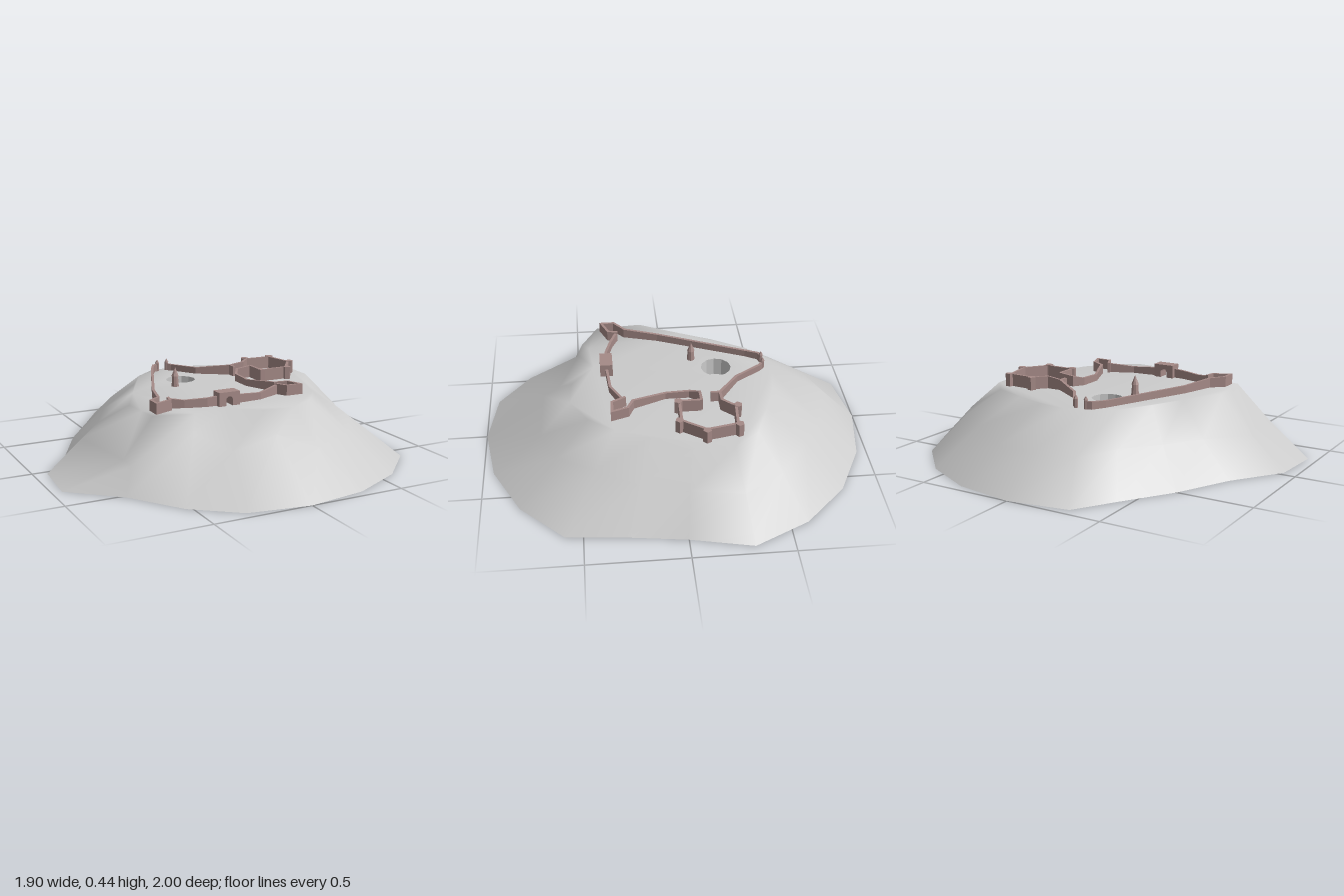
import * as THREE from 'three';
import { mergeGeometries, mergeVertices } from 'three/addons/utils/BufferGeometryUtils.js';

const GROUND = 0.33;
const earth = new THREE.MeshStandardMaterial({ color: 0xcccccc });
const stone = new THREE.MeshStandardMaterial({ color: 0xa58a87, flatShading: true });

// Foot of the hill, its shoulder [x, y, z] and the rim of the plateau, clockwise from the back
const foot = [
  [0, -1], [0.31, -0.95], [0.59, -0.81], [0.81, -0.59], [0.95, -0.31], [0.88, 0], [0.84, 0.28],
  [0.81, 0.59], [0.59, 0.81], [0.31, 0.95], [0, 1], [-0.31, 0.95], [-0.53, 0.78], [-0.71, 0.52],
  [-0.95, 0.31], [-0.93, 0.03], [-0.75, -0.22], [-0.61, -0.5], [-0.44, -0.75], [-0.31, -0.95],
];
const shoulder = [
  [0, 0.18, -0.82], [0.24, 0.16, -0.75], [0.45, 0.2, -0.63], [0.66, 0.19, -0.48], [0.78, 0.18, -0.28],
  [0.74, 0.18, -0.02], [0.67, 0.18, 0.22], [0.58, 0.21, 0.43], [0.45, 0.19, 0.62], [0.22, 0.16, 0.7],
  [0, 0.25, 0.68], [-0.19, 0.17, 0.6], [-0.35, 0.26, 0.49], [-0.66, 0.13, 0.47], [-0.6, 0.08, 0.22],
  [-0.75, 0.16, 0.04], [-0.58, 0.17, -0.17], [-0.47, 0.18, -0.38], [-0.34, 0.19, -0.58], [-0.21, 0.17, -0.74],
];
const rim = [
  [0, -0.53], [0.15, -0.51], [0.32, -0.45], [0.5, -0.38], [0.61, -0.25], [0.61, -0.04], [0.5, 0.15],
  [0.43, 0.32], [0.33, 0.45], [0.18, 0.54], [0.02, 0.53], [-0.13, 0.41], [-0.31, 0.43], [-0.51, 0.38],
  [-0.52, 0.27], [-0.53, 0.14], [-0.42, -0.08], [-0.34, -0.25], [-0.24, -0.42], [-0.13, -0.51],
];

function add(parent, name, geometry, material, x = 0, y = 0, z = 0) {
  const mesh = new THREE.Mesh(geometry, material);
  mesh.name = name;
  mesh.position.set(x, y, z);
  parent.add(mesh);
  return mesh;
}

function meshData(pos, index) {
  const g = new THREE.BufferGeometry();
  g.setAttribute('position', new THREE.Float32BufferAttribute(pos, 3));
  g.setIndex(index);
  return g;
}

// Slopes and plateau in one smooth skin, with a round hole for the pit
function hillGeometry(pit) {
  const n = foot.length, pos = [], index = [];
  foot.forEach(([x, z]) => pos.push(x, 0, z));
  shoulder.forEach(p => pos.push(...p));
  rim.forEach(([x, z]) => pos.push(x, GROUND, z));
  for (let r = 0; r < 2; r++) {
    for (let i = 0; i < n; i++) {
      const a = r * n + i, b = r * n + (i + 1) % n;
      index.push(b, a, a + n, b, a + n, b + n);
    }
  }
  const top = new THREE.Shape(rim.map(([x, z]) => new THREE.Vector2(x, -z)));
  const hole = [];
  for (let i = 0; i < 12; i++) {
    const a = i * Math.PI / 6;
    hole.push(new THREE.Vector2(pit.x + pit.r * Math.sin(a), -pit.z - pit.r * Math.cos(a)));
  }
  top.holes.push(new THREE.Path(hole));
  const plateau = new THREE.ShapeGeometry(top).rotateX(-Math.PI / 2).translate(0, GROUND, 0);
  plateau.deleteAttribute('uv');
  plateau.deleteAttribute('normal');
  const g = mergeVertices(mergeGeometries([meshData(pos, index), plateau]));
  g.computeVertexNormals();
  return g;
}

// Mitred wall along [x, z, top] points
function wallGeometry(path, thickness = 0.014) {
  const pos = [], index = [], v = path.map(([x, z]) => new THREE.Vector2(x, z));
  path.forEach(([x, z, top], i) => {
    const i0 = Math.max(i, 1), i1 = Math.min(i + 1, v.length - 1);
    const d0 = v[i0].clone().sub(v[i0 - 1]).normalize();
    const d1 = v[i1].clone().sub(v[i1 - 1]).normalize();
    const n0 = new THREE.Vector2(d0.y, -d0.x);
    const n = n0.clone().add(new THREE.Vector2(d1.y, -d1.x)).normalize();
    n.multiplyScalar(thickness / 2 / Math.max(n.dot(n0), 0.5));
    pos.push(x + n.x, GROUND - 0.01, z + n.y, x + n.x, top, z + n.y,
      x - n.x, top, z - n.y, x - n.x, GROUND - 0.01, z - n.y);
  });
  for (let s = 0; s < path.length - 1; s++) {
    for (let k = 0; k < 4; k++) {
      const a = s * 4 + k, a1 = s * 4 + (k + 1) % 4;
      index.push(a1, a1 + 4, a + 4, a1, a + 4, a);
    }
  }
  const e = (path.length - 1) * 4;
  index.push(3, 2, 1, 3, 1, 0, e, e + 1, e + 2, e, e + 2, e + 3);
  const g = meshData(pos, index).toNonIndexed();
  g.computeVertexNormals();
  return g;
}

export function createModel() {
  const model = new THREE.Group();
  model.name = 'hillFort';

  // Hill with a sunken pit and a closed underside
  const pit = { x: -0.07, z: -0.24, r: 0.08, depth: 0.1 };
  add(model, 'hill', hillGeometry(pit), earth);
  const bottom = new THREE.Shape(foot.map(([x, z]) => new THREE.Vector2(x, z)));
  add(model, 'underside', new THREE.ShapeGeometry(bottom).rotateX(Math.PI / 2), earth);
  const lining = new THREE.MeshStandardMaterial({ color: 0xcccccc, side: THREE.DoubleSide, flatShading: true });
  add(model, 'pitWall', new THREE.CylinderGeometry(pit.r, pit.r, pit.depth, 12, 1, true), lining,
    pit.x, GROUND - pit.depth / 2, pit.z);
  add(model, 'pitFloor', new THREE.CircleGeometry(pit.r, 12).rotateX(-Math.PI / 2), earth,
    pit.x, GROUND - pit.depth, pit.z);

  // Curtain walls
  const walls = {
    westWall: [[-0.095, -0.487, 0.37], [-0.127, -0.476, 0.37], [-0.164, -0.41, 0.365], [-0.36, 0.05, 0.37],
      [-0.413, 0.23, 0.38], [-0.476, 0.286, 0.385], [-0.476, 0.355, 0.385], [-0.39, 0.32, 0.385],
      [-0.38, 0.27, 0.385]],
    frontWallWest: [[-0.385, 0.275, 0.38], [-0.31, 0.31, 0.37], [-0.2, 0.34, 0.375], [-0.13, 0.342, 0.38]],
    frontWallEast: [[-0.05, 0.342, 0.375], [0.105, 0.33, 0.365], [0.235, 0.275, 0.38]],
    eastWall: [[0.228, 0.258, 0.385], [0.265, 0.328, 0.385], [0.344, 0.33, 0.385], [0.317, 0.25, 0.385],
      [0.254, 0.222, 0.38], [0.185, 0.053, 0.365], [0.185, -0.07, 0.37], [0.217, -0.12, 0.385], [0.3, -0.12, 0.395]],
    citadelWall: [[0.3, -0.12, 0.395], [0.3, -0.007, 0.395], [0.46, -0.005, 0.395], [0.54, -0.12, 0.395],
      [0.508, -0.275, 0.395], [0.365, -0.285, 0.395], [0.307, -0.222, 0.395], [0.228, -0.222, 0.385]],
    citadelSpur: [[0.228, -0.222, 0.385], [0.228, -0.175, 0.385]],
    backWall: [[0.228, -0.222, 0.385], [0.07, -0.33, 0.365], [-0.02, -0.465, 0.365], [-0.045, -0.487, 0.37]],
  };
  for (const [name, path] of Object.entries(walls)) add(model, name, wallGeometry(path), stone);

  // Pointed turrets on the citadel corners
  const centre = [0.42, -0.14];
  for (const [x, z] of [[0.303, -0.003], [0.46, 0.005], [0.55, -0.12], [0.513, -0.283], [0.36, -0.295]]) {
    const turret = add(model, 'citadelTurret', new THREE.CylinderGeometry(0.023, 0.023, 0.075, 5), stone,
      x, GROUND + 0.03, z);
    turret.rotation.y = Math.atan2(x - centre[0], z - centre[1]);
  }

  // Posts either side of the back gateway
  for (const x of [-0.1, -0.042]) {
    add(model, 'backGatePost', new THREE.CylinderGeometry(0.01, 0.01, 0.05, 6), stone, x, GROUND + 0.02, -0.485);
    add(model, 'backGateSpire', new THREE.ConeGeometry(0.012, 0.022, 6), stone, x, GROUND + 0.056, -0.485);
  }

  // Front gatehouse with an arched passage
  const gate = new THREE.Shape([[-0.057, 0], [-0.018, 0], [-0.018, 0.03]].map(p => new THREE.Vector2(...p)));
  gate.absarc(0, 0.03, 0.018, Math.PI, 0, true);
  gate.lineTo(0.018, 0).lineTo(0.057, 0).lineTo(0.057, 0.07).lineTo(-0.057, 0.07);
  add(model, 'gatehouse', new THREE.ExtrudeGeometry(gate, { depth: 0.066, bevelEnabled: false, curveSegments: 8 }),
    stone, -0.093, GROUND, 0.31);

  // Watchtower in the yard
  add(model, 'watchtower', new THREE.CylinderGeometry(0.016, 0.021, 0.06, 8), stone, -0.16, GROUND + 0.028, -0.115);
  add(model, 'watchtowerRoof', new THREE.ConeGeometry(0.02, 0.05, 8), stone, -0.16, GROUND + 0.08, -0.115);

  return model;
}
